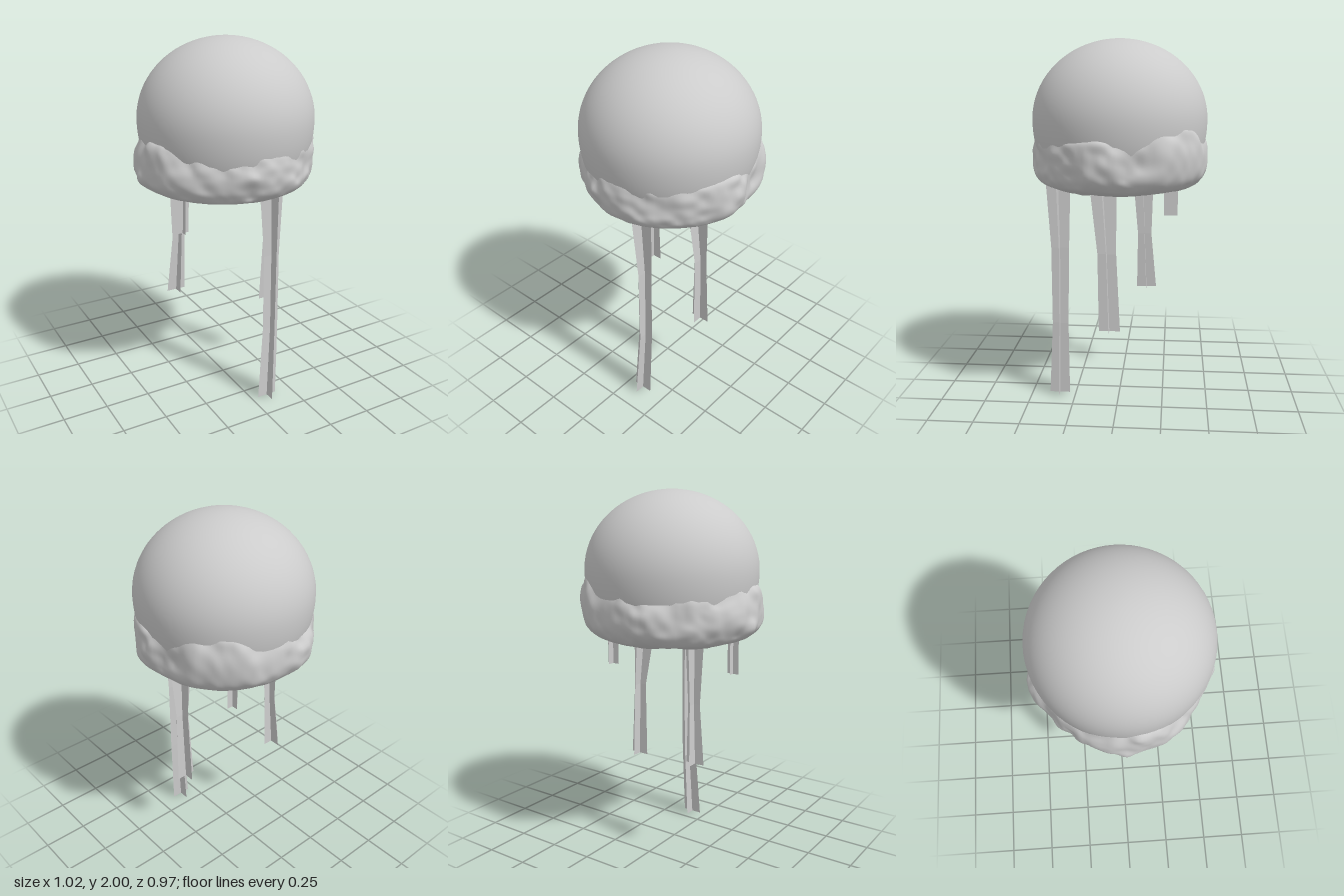
import * as THREE from 'three';
import { mergeVertices } from 'three/addons/utils/BufferGeometryUtils.js';

const CX = 0.016; // the bell sits slightly off centre

// Smooth shared normals after moving the vertices
function smooth(geometry) {
  geometry.deleteAttribute('uv');
  geometry.deleteAttribute('normal');
  const g = mergeVertices(geometry, 1e-4);
  g.computeVertexNormals();
  return g;
}

// Seeded value noise from -1 to 1, for rounded lumps
function hash(x, y, z) {
  const s = Math.sin(x * 127.1 + y * 311.7 + z * 74.7 + 3) * 43758.5453;
  return 2 * (s - Math.floor(s)) - 1;
}
function noise(x, y, z) {
  const i = [x, y, z].map(Math.floor);
  const [u, v, w] = [x - i[0], y - i[1], z - i[2]].map((f) => f * f * (3 - 2 * f));
  let sum = 0;
  for (let c = 0; c < 8; c++) {
    const a = c & 1, b = (c >> 1) & 1, d = c >> 2;
    sum += hash(i[0] + a, i[1] + b, i[2] + d) * (a ? u : 1 - u) * (b ? v : 1 - v) * (d ? w : 1 - w);
  }
  return sum;
}

// Dome: half ellipsoid that tucks in below its widest ring
function bellGeometry() {
  const pts = [];
  for (let i = 0; i <= 28; i++) {
    const t = -0.55 + (Math.PI / 2 + 0.55) * (i / 28);
    const r = i === 28 ? 0 : 0.474 * Math.pow(Math.cos(t), t < 0 ? 0.6 : 1);
    pts.push(new THREE.Vector2(r, 1.57 + 0.43 * Math.sin(t)));
  }
  return smooth(new THREE.LatheGeometry(pts, 64));
}

// Swellings of the frill: [x, z, height, outward push, upward lift]
const SWELLINGS = [
  [-0.47, 0, 1.37, 0.036, 0.03], [-0.43, 0.2, 1.33, 0.02, 0.01], [0.47, 0.09, 1.36, 0.024, 0.02],
  [0.25, -0.4, 1.38, 0.034, 0.07], [0.4, -0.25, 1.38, 0.036, 0.08],
  [-0.2, -0.42, 1.36, 0.012, 0.02], [0.04, -0.47, 1.34, 0.01, 0.03],
];

// Frill: closed lumpy skirt around and under the dome
function frillGeometry() {
  const curve = new THREE.CatmullRomCurve3([
    [0, 1.182], [0.2, 1.188], [0.34, 1.205], [0.425, 1.235], [0.46, 1.285],
    [0.467, 1.34], [0.462, 1.41], [0.447, 1.47], [0.42, 1.5],
  ].map(([r, y]) => new THREE.Vector3(r, y, 0)));
  const pts = curve.getPoints(48).map((p) => new THREE.Vector2(Math.max(0, p.x), p.y));
  const g = new THREE.LatheGeometry(pts, 160);
  const pos = g.attributes.position;
  for (let i = 0; i < pos.count; i++) {
    const x = pos.getX(i), y = pos.getY(i), z = pos.getZ(i);
    const r = Math.hypot(x, z);
    const n = noise(x * 11, y * 11, z * 11) + 0.4 * noise(x * 22 + 5, y * 22, z * 22);
    const side = THREE.MathUtils.smoothstep(r, 0.25, 0.45);
    const rise = THREE.MathUtils.smoothstep(y, 1.28, 1.45);
    let push = 0.02 * n, lift = 0.014 * n * (1 - 0.4 * side);
    for (const [sx, sz, sy, out, up] of SWELLINGS) {
      const flat = (x - sx) ** 2 + (z - sz) ** 2;
      push += out * Math.exp(-(flat + (y - sy) ** 2) / 0.012);
      lift += up * rise * Math.exp(-flat / 0.02);
    }
    const k = r > 0 ? 1 + (side * push) / r : 1;
    pos.setXYZ(i, x * k * 1.015, y + lift, z * k);
  }
  return smooth(g);
}

// Tentacle: two ribbons crossing at right angles.
// Each section is [y, xMin, xMax, zMin, zMax]
function tentacleGeometry(sections) {
  const verts = [], index = [];
  sections.forEach(([y, x0, x1, z0, z1], i) => {
    const xc = (x0 + x1) / 2, zc = (z0 + z1) / 2;
    verts.push(x0, y, zc, x1, y, zc, xc, y, z0, xc, y, z1);
    if (i === 0) return;
    for (const k of [0, 2]) {
      const a = 4 * (i - 1) + k, b = 4 * i + k;
      index.push(a, b, a + 1, b, b + 1, a + 1);
    }
  });
  const g = new THREE.BufferGeometry();
  g.setAttribute('position', new THREE.Float32BufferAttribute(verts, 3));
  g.setIndex(index);
  const flat = g.toNonIndexed();
  flat.computeVertexNormals();
  return flat;
}

const TENTACLES = {
  longFrontTentacle: [
    [1.225, 0.035, 0.175, 0.265, 0.4], [0.87, 0.07, 0.165, 0.275, 0.375],
    [0.43, 0.07, 0.165, 0.285, 0.375], [0, 0.04, 0.155, 0.285, 0.4],
  ],
  leftTentacle: [
    [1.225, 0.185, 0.335, 0, 0.14], [0.88, 0.24, 0.32, 0, 0.1], [0.45, 0.225, 0.335, -0.02, 0.095],
  ],
  rightTentacle: [
    [1.225, -0.27, -0.155, -0.18, -0.06], [0.88, -0.255, -0.18, -0.17, -0.09], [0.55, -0.29, -0.18, -0.2, -0.085],
  ],
  shortRightTentacle: [[1.24, -0.34, -0.272, 0.09, 0.155], [1.01, -0.345, -0.275, 0.085, 0.15]],
  shortBackTentacle: [[1.24, 0.17, 0.24, -0.322, -0.245], [1.08, 0.172, 0.242, -0.32, -0.25]],
};

export function createModel() {
  const model = new THREE.Group();
  model.name = 'jellyfish';
  const skin = new THREE.MeshStandardMaterial({ color: 0xcccccc });
  const thin = new THREE.MeshStandardMaterial({ color: 0xcccccc, side: THREE.DoubleSide });
  const add = (name, geometry, material) => {
    const mesh = new THREE.Mesh(geometry, material);
    mesh.name = name;
    model.add(mesh);
    return mesh;
  };
  add('bell', bellGeometry(), skin).position.x = CX;
  add('frill', frillGeometry(), skin).position.x = CX * 0.5;
  for (const [name, sections] of Object.entries(TENTACLES)) add(name, tentacleGeometry(sections), thin);
  return model;
}
